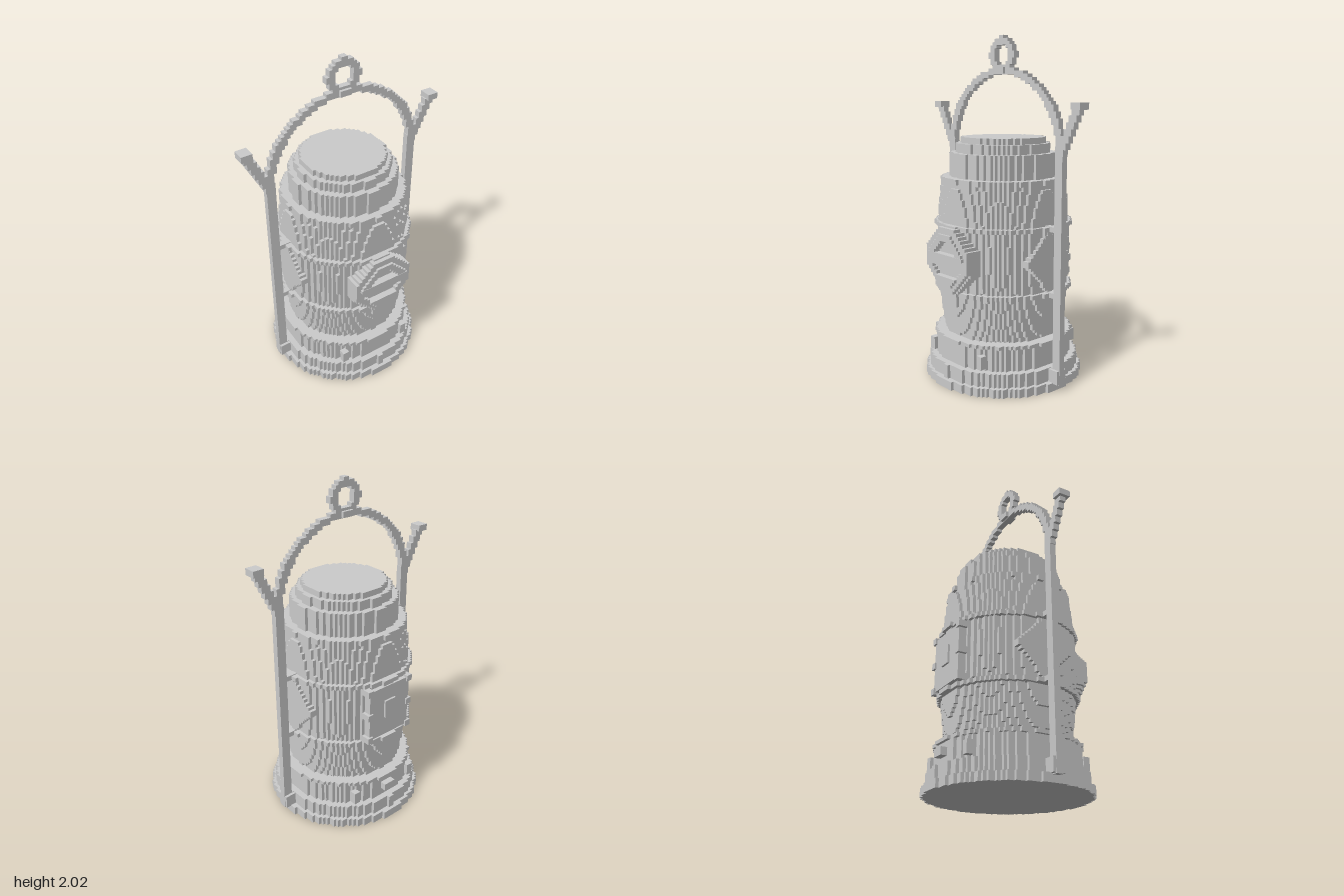
import * as THREE from 'three';
import { mergeGeometries } from 'three/addons/utils/BufferGeometryUtils.js';

const V = 2 / 107; // edge of one block
const mat = new THREE.MeshStandardMaterial({ color: 0xcccccc, flatShading: true });

function add(group, name, geometry) {
  const mesh = new THREE.Mesh(geometry, mat);
  mesh.name = name;
  group.add(mesh);
  return mesh;
}

// Box given by its limits
function block(x0, x1, y0, y1, z0, z1) {
  return new THREE.BoxGeometry(x1 - x0, y1 - y0, z1 - z0)
    .translate((x0 + x1) / 2, (y0 + y1) / 2, (z0 + z1) / 2);
}

// Upright disc with a stair-stepped circular outline
function blockDisc(radius, y0, y1) {
  const right = [], n = Math.round(radius / V);
  for (let i = -n; i < n; i++) {
    const z = (i + 0.5) * V;
    const w = Math.max(1, Math.round(Math.sqrt(Math.max(0, radius * radius - z * z)) / V)) * V;
    const last = right[right.length - 1];
    if (last && last.x === w) last.y = (i + 1) * V;
    else right.push(new THREE.Vector2(w, i * V), new THREE.Vector2(w, (i + 1) * V));
  }
  const left = right.map(p => new THREE.Vector2(-p.x, p.y)).reverse();
  return new THREE.ExtrudeGeometry(new THREE.Shape([...right, ...left]), { depth: y1 - y0, bevelEnabled: false })
    .rotateX(-Math.PI / 2).translate(0, y0, 0);
}

// Fills the cells where inside(x, y) holds, one box for each horizontal run
function blockMask(x0, x1, y0, y1, z0, z1, inside) {
  const boxes = [];
  for (let j = Math.floor(y0 / V); j < Math.ceil(y1 / V); j++) {
    let start = null;
    for (let i = Math.floor(x0 / V); i <= Math.ceil(x1 / V); i++) {
      const on = i < Math.ceil(x1 / V) && inside((i + 0.5) * V, (j + 0.5) * V);
      if (on && start === null) start = i;
      if (!on && start !== null) {
        boxes.push(block(start * V, i * V, j * V, (j + 1) * V, z0, z1));
        start = null;
      }
    }
  }
  return mergeGeometries(boxes);
}

export function createModel() {
  const model = new THREE.Group();
  model.name = 'lantern';

  // Stepped base, collars, bands and cap: name, radius, bottom, top
  const tiers = [
    ['baseFoot', 0.465, 0, 0.05], ['baseStep', 0.44, 0.05, 0.13],
    ['baseDrum', 0.4, 0.13, 0.26], ['baseRim', 0.41, 0.26, 0.28],
    ['lowerBand', 0.405, 0.54, 0.565], ['upperBand', 0.405, 0.92, 0.945],
    ['shoulderRim', 0.365, 1.175, 1.205], ['neck', 0.31, 1.205, 1.345],
    ['capStep', 0.275, 1.345, 1.4], ['capTop', 0.245, 1.4, 1.435],
  ];
  for (const [name, r, y0, y1] of tiers) add(model, name, blockDisc(r, y0, y1));

  // Bulging body, one disc for each row of blocks
  const rows = [], count = 48, rowH = (1.19 - 0.27) / count;
  for (let k = 0; k < count; k++) {
    const y = 0.27 + (k + 0.5) * rowH;
    const t = (y - 0.76) / 0.48;
    const r = 0.388 - (y < 0.76 ? 0.045 : 0.035) * t * t;
    rows.push(blockDisc(r, 0.27 + k * rowH, 0.27 + (k + 1) * rowH));
  }
  add(model, 'body', mergeGeometries(rows));

  // Round front emblem with rim, crossbar and inner grille
  const emblem = new THREE.Group();
  emblem.name = 'frontEmblem';
  model.add(emblem);
  const cy = 0.75;
  const oct = (x, y) => Math.max(Math.abs(x), Math.abs(y - cy), (Math.abs(x) + Math.abs(y - cy)) * 0.74);
  add(emblem, 'emblemPlate', blockMask(-0.2, 0.2, 0.54, 0.96, 0.3, 0.41, (x, y) => oct(x, y) < 0.19));
  add(emblem, 'emblemRim', blockMask(-0.2, 0.2, 0.54, 0.96, 0.4, 0.435,
    (x, y) => oct(x, y) < 0.18 && oct(x, y) > 0.135));
  add(emblem, 'emblemTopRidge', blockMask(-0.15, 0.15, 0.78, 0.89, 0.4, 0.45,
    (x, y) => oct(x, y) > 0.105 && oct(x, y) < 0.145));
  add(emblem, 'emblemBottomRidge', blockMask(-0.15, 0.15, 0.61, 0.64, 0.4, 0.45, (x, y) => oct(x, y) < 0.145));
  add(emblem, 'emblemCrossbar', block(-0.18, 0.18, 0.71, 0.785, 0.4, 0.435));
  add(emblem, 'emblemCrossbarEdge', block(-0.16, 0.16, 0.765, 0.785, 0.43, 0.452));
  add(emblem, 'emblemStem', block(-0.035, 0.035, 0.47, 0.57, 0.36, 0.39));

  // Back panel with a button and corner studs
  add(model, 'backPanel', block(-0.15, 0.15, 0.58, 0.9, -0.4, -0.3));
  add(model, 'backButton', block(-0.04, 0.04, 0.7, 0.81, -0.412, -0.39));
  for (const sx of [-1, 1]) for (const y of [0.585, 0.74, 0.895])
    add(model, 'backStud', block(sx * 0.15 - V, sx * 0.15 + V, y - V, y + V, -0.41, -0.33));

  // Small clasps around the base
  for (const x of [-0.22, 0.22]) for (const s of [-1, 1])
    add(model, 'baseClasp', block(x - 0.02, x + 0.02, 0.15, 0.225, s * 0.36 - 0.02, s * 0.36 + 0.02));
  add(model, 'backClasp', block(-0.04, 0.04, 0.18, 0.225, -0.43, -0.38));

  for (const s of [-1, 1]) {
    // Side lozenge plates
    const lozenge = blockMask(-0.17, 0.17, 0.57, 0.92, 0.34, 0.398,
      (x, y) => Math.abs(x) / 0.17 + Math.abs(y - 0.745) / 0.19 < 1);
    add(model, 'sideLozenge', lozenge.rotateY(s * Math.PI / 2));

    // Upright strut, its foot and its tabs to the body
    const span = (a, b, ...rest) => block(Math.min(s * a, s * b), Math.max(s * a, s * b), ...rest);
    add(model, 'strut', span(0.445, 0.5, 0.04, 1.4, -V, V));
    add(model, 'strutFoot', span(0.42, 0.498, 0.045, 0.125, -0.036, 0.036));
    for (const y of [0.54, 0.92]) add(model, 'strutTab', span(0.36, 0.46, y, y + 0.03, -V, V));

    // Slanted horn with a block at its tip
    add(model, 'horn', blockMask(s < 0 ? -0.64 : 0.44, s < 0 ? -0.44 : 0.64, 1.36, 1.61, -V, V,
      (x, y) => Math.abs(Math.abs(x) - (0.485 + (y - 1.38) * 0.5)) < 0.027));
    add(model, 'hornTip', span(0.57, 0.636, 1.6, 1.638, -0.036, 0.036));
  }

  // Arched handle and hanging ring
  add(model, 'handleArch', blockMask(-0.52, 0.52, 1.38, 1.86, -V, V, (x, y) => {
    const outer = Math.hypot(x / 0.5, (y - 1.36) / 0.475);
    const inner = Math.hypot(x / 0.45, (y - 1.36) / 0.437);
    return outer < 1 && inner > 1;
  }));
  add(model, 'archKnot', block(-0.036, 0.036, 1.8, 1.835, -0.036, 0.036));
  add(model, 'hangingRing', blockMask(-0.12, 0.12, 1.81, 2, -V, V, (x, y) => {
    const d = Math.hypot(x, y - 1.905);
    return d < 0.105 && d > 0.06;
  }));
  return model;
}
